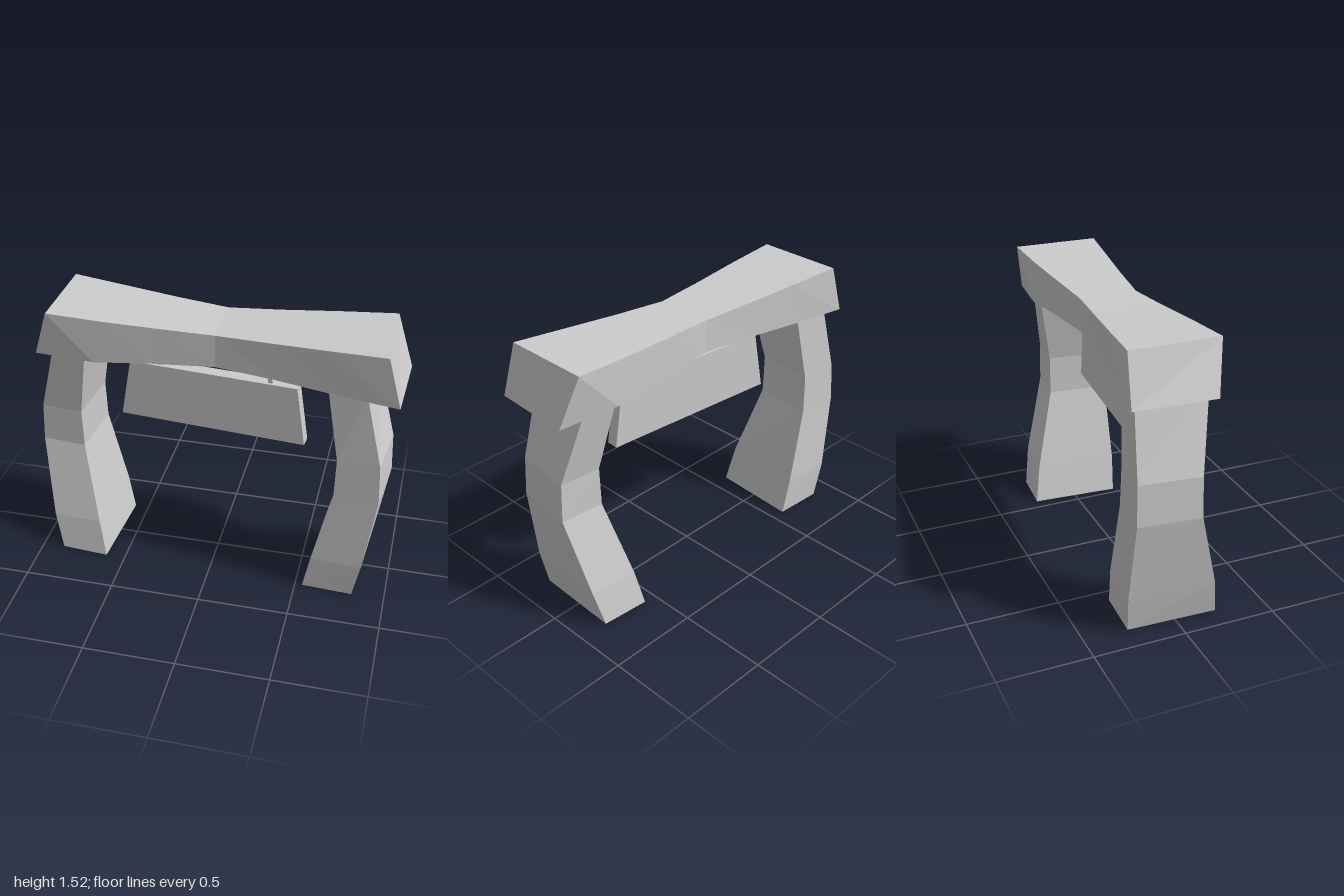
import * as THREE from 'three';

const stone = new THREE.MeshStandardMaterial({ color: 0xcccccc, flatShading: true, side: THREE.DoubleSide });

// Skin a list of four-cornered rings, optionally closing both ends.
function loft(name, rings, capped = true) {
  const pos = [];
  const quad = (a, b, c, d) => pos.push(...a, ...b, ...c, ...a, ...c, ...d);
  for (let i = 0; i < rings.length - 1; i++) {
    for (let k = 0; k < 4; k++) {
      const n = (k + 1) % 4;
      quad(rings[i][k], rings[i][n], rings[i + 1][n], rings[i + 1][k]);
    }
  }
  if (capped) {
    quad(...[...rings[0]].reverse());
    quad(...rings[rings.length - 1]);
  }
  const geo = new THREE.BufferGeometry();
  geo.setAttribute('position', new THREE.Float32BufferAttribute(pos, 3));
  geo.computeVertexNormals();
  const mesh = new THREE.Mesh(geo, stone);
  mesh.name = name;
  return mesh;
}

// Bowed, hollow leg: height, then x and z of the front and back corners.
function makeLeg(name) {
  const levels = [
    // y, inner front x, outer front x, outer back x, inner front z, outer front z, outer back z
    [0, 0.54, 0.82, 0.837, 0.25, 0.265, -0.225],
    [0.21, 0.58, 0.86, 0.885, 0.26, 0.28, -0.19],
    [0.65, 0.68, 0.92, 0.955, 0.25, 0.265, -0.07],
    [0.87, 0.685, 0.91, 0.945, 0.245, 0.26, -0.068],
    [1.27, 0.615, 0.815, 0.83, 0.215, 0.24, -0.14],
  ];
  const rings = levels.map(([y, fi, fo, bo, zfi, zfo, zbo]) => [
    [fi, y, zfi], [fo, y, zfo], [bo, y, zbo], [fi + 0.03, y, zbo - 0.02],
  ]);
  return loft(name, rings, false);
}

// Waisted, slightly twisted crossbeam; its ends repeat under a half turn.
function makeBeam() {
  const topY = [1.475, 1.487, 1.503, 1.52];
  const bottomY = [1.293, 1.28, 1.258, 1.25];
  const wide = [0.16, 0.197, 0.237, 0.275];
  const narrow = [0.16, 0.177, 0.197, 0.207];
  const rings = [];
  for (let s = -3; s <= 3; s++) {
    const i = Math.abs(s), end = i === 3;
    const front = s > 0 ? wide[i] : narrow[i];
    const back = s > 0 ? narrow[i] : wide[i];
    // the lower edge pinches in on the narrow corner of each end
    const lowFront = end ? (s > 0 ? 0.285 : 0.155) : front;
    const lowBack = end ? (s > 0 ? 0.155 : 0.285) : back;
    const xt = 0.02 + s * 0.885 / 3;
    const xb = 0.02 + s * 0.97 / 3;
    const skew = end ? 0.01 : 0;
    rings.push([
      [xb - skew, bottomY[i], lowFront], [xb + skew, bottomY[i], -lowBack],
      [xt, topY[i], -back], [xt, topY[i], front],
    ]);
  }
  return loft('crossbeam', rings);
}

// Box whose bottom and top edges differ in x.
function taperedBox(name, [b0, b1], [t0, t1], y0, y1, depth) {
  const d = depth / 2;
  const ring = (y, l, r) => [[l, y, d], [r, y, d], [r, y, -d], [l, y, -d]];
  return loft(name, [ring(y0, b0, b1), ring(y1, t0, t1)]);
}

export function createModel() {
  const model = new THREE.Group();
  model.name = 'gate';

  const leftLeg = makeLeg('leftLeg');
  const rightLeg = makeLeg('rightLeg');
  rightLeg.rotation.y = Math.PI;
  rightLeg.position.set(-0.04, 0, 0.005);
  model.add(leftLeg, rightLeg, makeBeam());

  // Hanging board with two short hangers, turned slightly
  const sign = new THREE.Group();
  sign.name = 'hangingSign';
  sign.add(
    taperedBox('board', [-0.52, 0.52], [-0.46, 0.47], 0.84, 1.178, 0.07),
    taperedBox('rightHanger', [-0.312, -0.288], [-0.292, -0.275], 1.16, 1.31, 0.04),
    taperedBox('leftHanger', [0.31, 0.335], [0.295, 0.315], 1.16, 1.31, 0.04),
  );
  sign.position.set(-0.025, 0, 0.015);
  sign.rotation.y = -0.09;
  model.add(sign);

  return model;
}
